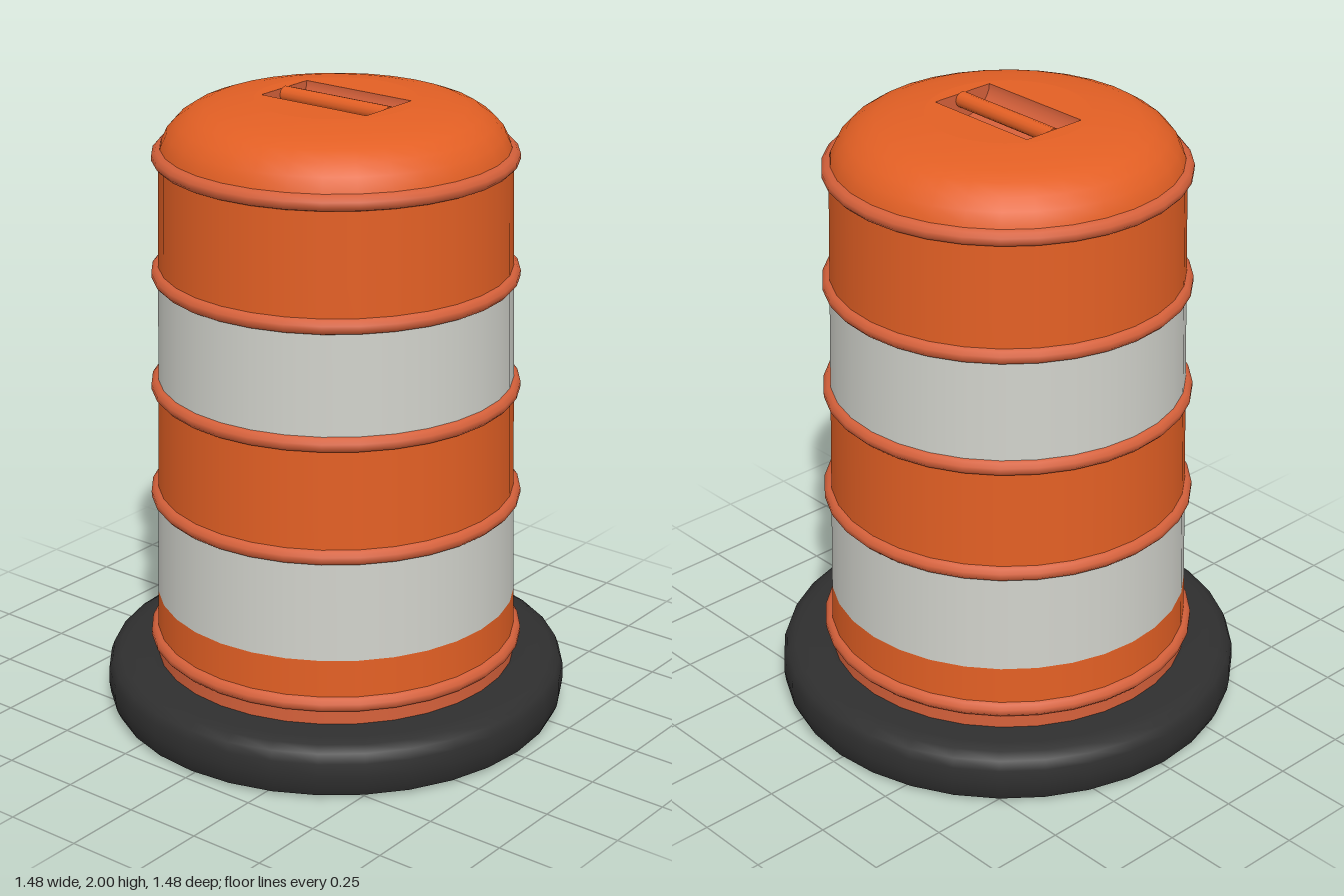
import * as THREE from 'three';
import { toCreasedNormals } from 'three/addons/utils/BufferGeometryUtils.js';

const SEGMENTS = 32;

export function createModel() {
  const model = new THREE.Group();
  model.name = 'trafficDrum';

  const material = (name, color, side = THREE.FrontSide) => {
    const m = new THREE.MeshStandardMaterial({ color, side });
    m.name = name;
    return m;
  };
  const orange = material('orange plastic', 0xe25f24);
  const worn = material('worn orange', 0xd4603a, THREE.DoubleSide);
  const white = material('reflective white', 0xd0d1ca);
  const rubber = material('black rubber', 0x2f2f2f);

  const add = (name, geometry, mat, parent = model) => {
    const mesh = new THREE.Mesh(geometry, mat);
    mesh.name = name;
    parent.add(mesh);
    return mesh;
  };
  const lathe = (points) =>
    new THREE.LatheGeometry(points.map(([r, y]) => new THREE.Vector2(r, y)), SEGMENTS);

  // Wall tapers gently from the bottom to the shoulder
  const wallRadius = (y) => 0.582 - 0.023 * y;

  // Weighted rubber ring
  const ring = lathe([
    [0.57, 0.008], [0.6, 0.005], [0.7, 0.005], [0.722, 0.012], [0.735, 0.04], [0.74, 0.08],
    [0.738, 0.125], [0.727, 0.155], [0.7, 0.172], [0.66, 0.178], [0.57, 0.178],
  ]);
  add('baseRing', toCreasedNormals(ring, 0.7), rubber);

  // Underside of the drum
  const floor = new THREE.CircleGeometry(0.58, SEGMENTS);
  floor.rotateX(Math.PI / 2);
  add('underside', floor, orange).position.y = 0.004;

  // Coloured wall sections
  const sections = [
    ['lowerSkirt', 0.0, 0.245, worn],
    ['lowerBand', 0.245, 0.39, orange],
    ['lowerStripe', 0.39, 0.72, white],
    ['middleBand', 0.72, 1.1, orange],
    ['upperStripe', 1.1, 1.445, white],
    ['upperBand', 1.445, 1.83, orange],
  ];
  for (const [name, y0, y1, mat] of sections) {
    add(name, lathe([[wallRadius(y0), y0], [wallRadius(y1), y1]]), mat);
  }

  // Raised ribs around the wall
  for (const y of [0.245, 0.73, 1.09, 1.455, 1.825]) {
    const r = wallRadius(y);
    const rib = lathe([
      [r - 0.005, y - 0.026], [r + 0.01, y - 0.02], [r + 0.021, y - 0.008],
      [r + 0.021, y + 0.008], [r + 0.01, y + 0.02], [r - 0.005, y + 0.026],
    ]);
    add('rib', rib, worn);
  }

  // Rounded shoulder leading to the flat crown
  add('shoulder', lathe([
    [0.54, 1.83], [0.532, 1.86], [0.515, 1.895], [0.485, 1.928], [0.445, 1.955],
    [0.4, 1.972], [0.34, 1.984], [0.28, 1.992], [0.25, 1.995],
  ]), orange);

  // Crown with the handle opening cut out
  const handle = new THREE.Group();
  handle.name = 'handle';
  handle.position.y = 1.995;
  model.add(handle);

  const [w, d] = [0.2, 0.11];
  const disc = new THREE.Shape().absarc(0, 0, 0.25, 0, Math.PI * 2);
  disc.holes.push(new THREE.Path([
    [-w, -d], [-w, d], [w, d], [w, -d],
  ].map(([x, y]) => new THREE.Vector2(x, y))));
  const crown = new THREE.ShapeGeometry(disc, SEGMENTS / 2);
  crown.rotateX(-Math.PI / 2);
  add('crown', crown, orange, handle);

  // Scooped recess below the grip
  const recess = new THREE.CylinderGeometry(d, d, w * 2, 14, 1, false, Math.PI, Math.PI);
  recess.rotateZ(Math.PI / 2);
  recess.scale(1, 0.75, 1);
  add('handleRecess', recess, worn, handle);

  // Grip bar across the recess
  const grip = new THREE.CylinderGeometry(0.025, 0.025, w * 2, 12);
  grip.rotateZ(Math.PI / 2);
  const bar = add('gripBar', grip, orange, handle);
  bar.position.set(0, -0.02, -0.003);

  return model;
}
